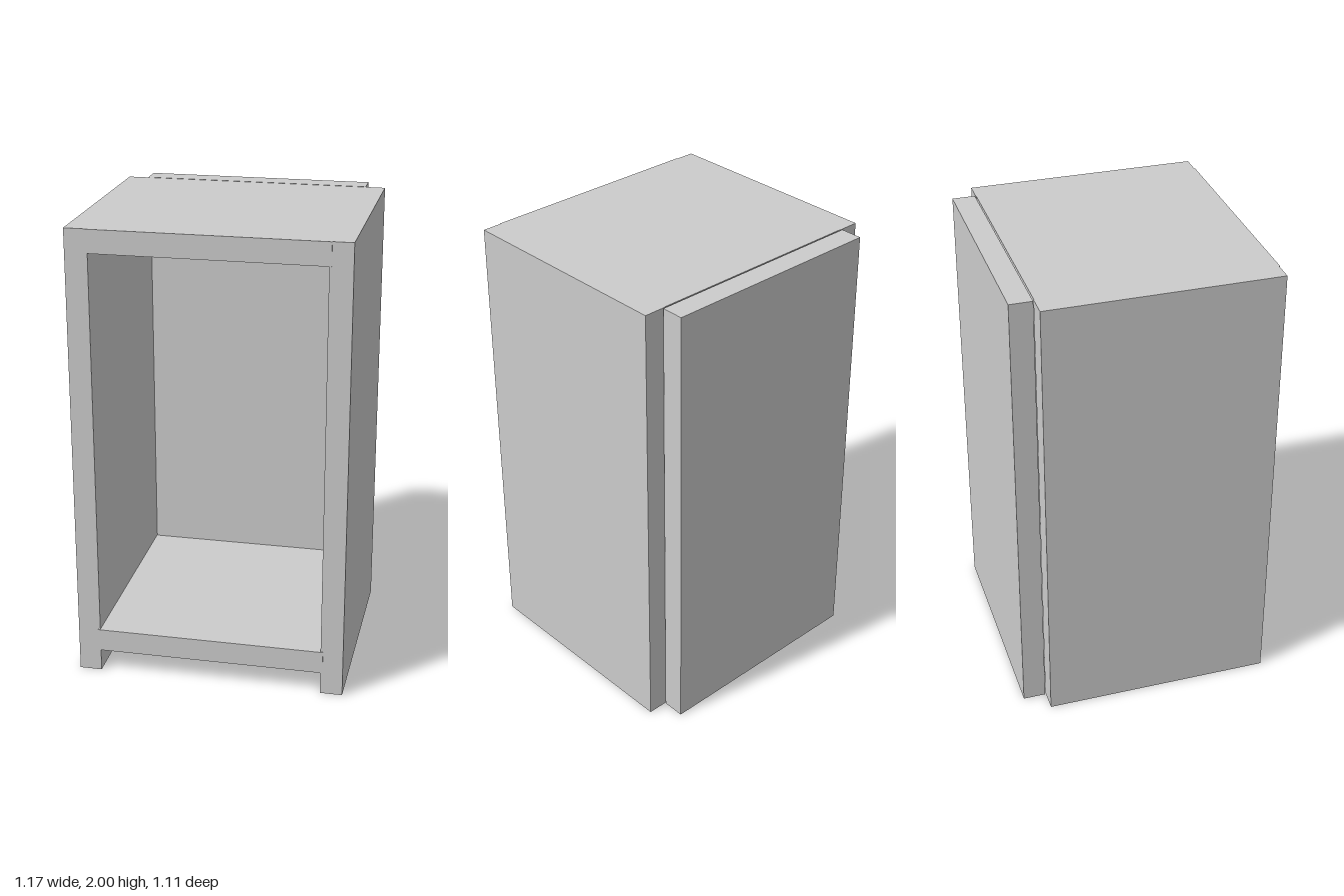
import * as THREE from 'three';

export function createModel() {
  const group = new THREE.Group();
  group.name = 'cabinet';
  const material = new THREE.MeshStandardMaterial({ color: 0xcccccc });

  // Board given by its lower and upper corners
  function board(name, [x0, y0, z0], [x1, y1, z1]) {
    const mesh = new THREE.Mesh(new THREE.BoxGeometry(x1 - x0, y1 - y0, z1 - z0), material);
    mesh.position.set((x0 + x1) / 2, (y0 + y1) / 2, (z0 + z1) / 2);
    mesh.name = name;
    group.add(mesh);
  }

  // Side panels, running down to the floor
  board('leftSide', [0.49, 0, -0.451], [0.587, 2, 0.549]);
  board('rightSide', [-0.587, 0, -0.451], [-0.49, 2, 0.549]);

  // Top and raised bottom, set between the sides and slightly proud at the front
  board('topPanel', [-0.5, 1.9, -0.449], [0.5, 2, 0.553]);
  board('bottomPanel', [-0.5, 0.1, -0.449], [0.5, 0.2, 0.553]);

  // Narrower back panel behind the sides
  board('backPanel', [-0.5, 0, -0.553], [0.5, 2, -0.455]);

  return group;
}
